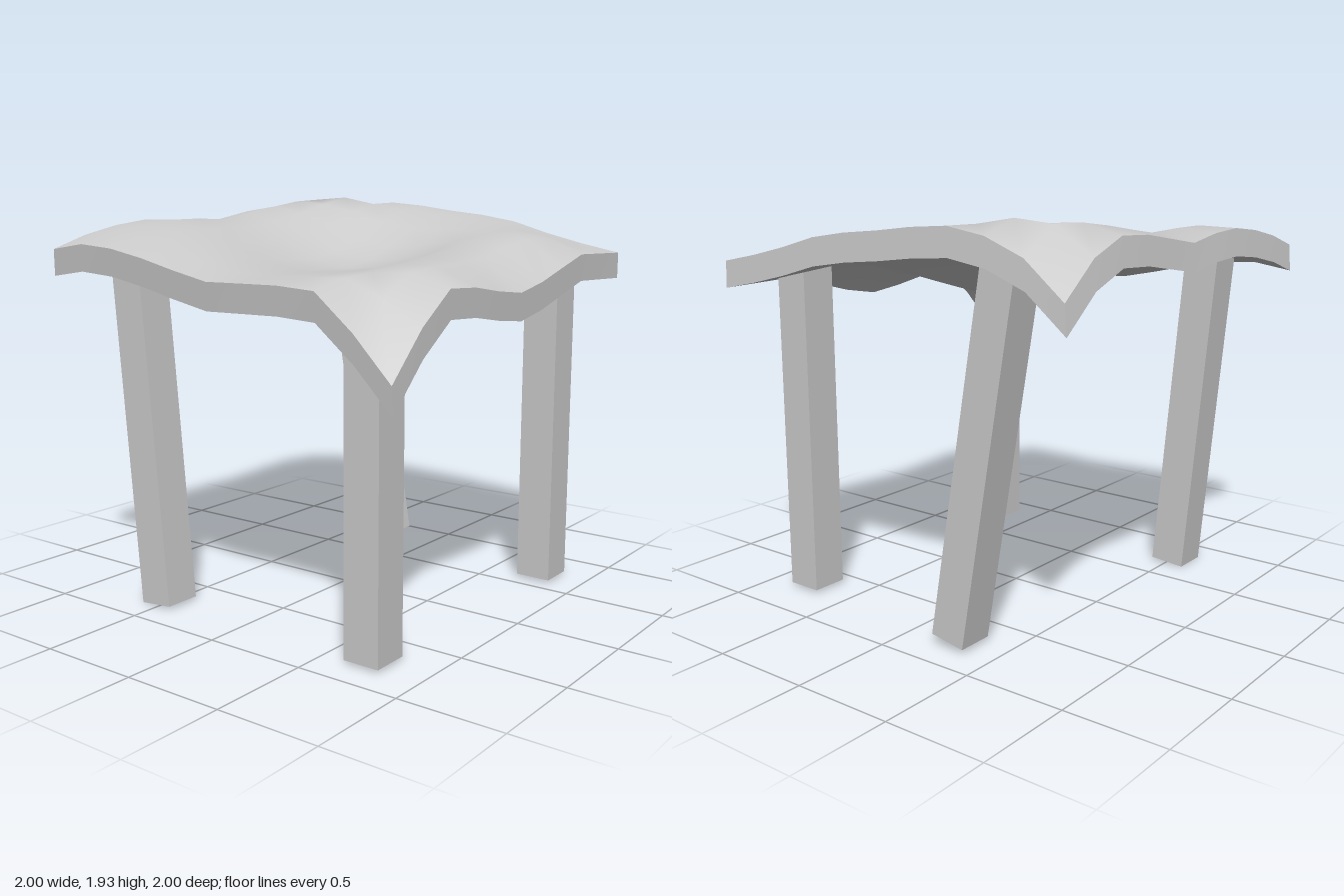
import * as THREE from 'three';

const N = 10;
const THICK = 0.128;

// Control heights of the warped top: rows run back to front, columns -x to +x
const XS = [-1, -0.8, -0.6, -0.3, 0, 0.3, 0.6, 0.8, 1];
const ZS = [-1, -0.75, -0.4, -0.2, 0, 0.35, 0.65, 0.85, 1];
const HEIGHTS = [
  [1.71, 1.77, 1.81, 1.835, 1.795, 1.845, 1.87, 1.80, 1.65],
  [1.74, 1.78, 1.81, 1.835, 1.825, 1.87, 1.915, 1.935, 1.83],
  [1.69, 1.72, 1.74, 1.73, 1.73, 1.77, 1.86, 1.90, 1.905],
  [1.645, 1.67, 1.68, 1.655, 1.645, 1.70, 1.81, 1.87, 1.89],
  [1.605, 1.63, 1.635, 1.615, 1.605, 1.66, 1.78, 1.85, 1.865],
  [1.61, 1.63, 1.63, 1.63, 1.64, 1.70, 1.78, 1.82, 1.825],
  [1.58, 1.63, 1.65, 1.69, 1.72, 1.77, 1.785, 1.755, 1.745],
  [1.39, 1.54, 1.65, 1.66, 1.66, 1.72, 1.745, 1.71, 1.70],
  [1.25, 1.46, 1.60, 1.575, 1.54, 1.60, 1.68, 1.675, 1.67],
];

// Smooth cubic through unevenly spaced knots
function spline(knots, vals, t) {
  const last = knots.length - 1;
  let i = 0;
  while (i < last - 1 && t > knots[i + 1]) i++;
  const slope = (k) => {
    const a = Math.max(k - 1, 0), b = Math.min(k + 1, last);
    return (vals[b] - vals[a]) / (knots[b] - knots[a]);
  };
  const h = knots[i + 1] - knots[i], u = (t - knots[i]) / h;
  const u2 = u * u, u3 = u2 * u;
  return (2 * u3 - 3 * u2 + 1) * vals[i] + (u3 - 2 * u2 + u) * h * slope(i)
    + (3 * u2 - 2 * u3) * vals[i + 1] + (u3 - u2) * h * slope(i + 1);
}

const height = (x, z) => spline(ZS, HEIGHTS.map((row) => spline(XS, row, x)), z);

// Point of the slab at grid cell (i, j), on its upper or lower face
function slabPoint(i, j, lower) {
  const x = (2 * i) / N - 1, z = (2 * j) / N - 1;
  const corner = (sx, sz) => Math.pow(Math.max(0, x * sx) * Math.max(0, z * sz), 4);
  const flare = corner(1, -1), droop = corner(-1, 1), front = corner(1, 1);
  const [x0, x1, z0, z1] = lower ? [-0.985, 0.97, -0.985, 0.98] : [-1, 0.96, -0.968, 0.985];
  return [
    THREE.MathUtils.lerp(x0, x1, i / N) + 0.03 * flare + 0.035 * droop,
    height(x, z) - (lower ? THICK : 0),
    THREE.MathUtils.lerp(z0, z1, j / N) - 0.02 * flare - 0.04 * droop + 0.013 * front,
  ];
}

function toGeometry(positions, index) {
  const g = new THREE.BufferGeometry();
  g.setAttribute('position', new THREE.Float32BufferAttribute(positions, 3));
  g.setIndex(index);
  g.computeVertexNormals();
  return g;
}

function faceGeometry(lower) {
  const positions = [], index = [];
  for (let j = 0; j <= N; j++) {
    for (let i = 0; i <= N; i++) {
      positions.push(...slabPoint(i, j, lower));
      if (i === N || j === N) continue;
      const a = j * (N + 1) + i, b = a + 1, c = a + N + 1, d = c + 1;
      if (lower) index.push(a, b, c, b, d, c);
      else index.push(a, c, b, b, c, d);
    }
  }
  return toGeometry(positions, index);
}

// One rim strip; cell(k) walks an edge anticlockwise seen from above
function rimGeometry(cell) {
  const positions = [], index = [];
  for (let k = 0; k <= N; k++) {
    const [i, j] = cell(k);
    positions.push(...slabPoint(i, j, false), ...slabPoint(i, j, true));
    if (k === N) continue;
    const t = 2 * k;
    index.push(t, t + 1, t + 2, t + 2, t + 1, t + 3);
  }
  return toGeometry(positions, index);
}

export function createModel() {
  const group = new THREE.Group();
  const material = new THREE.MeshStandardMaterial({ color: 0xcccccc });
  const add = (name, geometry, parent = group) => {
    const mesh = new THREE.Mesh(geometry, material);
    mesh.name = name;
    parent.add(mesh);
    return mesh;
  };

  // Warped table top
  const top = new THREE.Group();
  top.name = 'tableTop';
  group.add(top);
  add('upperFace', faceGeometry(false), top);
  add('underside', faceGeometry(true), top);
  add('frontRim', rimGeometry((k) => [k, N]), top);
  add('leftRim', rimGeometry((k) => [N, N - k]), top);
  add('backRim', rimGeometry((k) => [N - k, 0]), top);
  add('rightRim', rimGeometry((k) => [0, k]), top);

  // Square legs, the back pair leaning: x, foot y and z, head y and z
  const legs = [
    ['frontLeftLeg', 0.675, 0.015, 0.767, 1.64, 0.767],
    ['frontRightLeg', -0.76, 0.015, 0.717, 1.5, 0.717],
    ['backLeftLeg', 0.767, 0.037, -0.267, 1.8, -0.572],
    ['backRightLeg', -0.757, 0.008, -0.51, 1.67, -0.655],
  ];
  for (const [name, x, y0, z0, y1, z1] of legs) {
    const length = Math.hypot(y1 - y0, z1 - z0);
    const leg = add(name, new THREE.BoxGeometry(0.182, length, 0.179));
    leg.position.set(x, (y0 + y1) / 2, (z0 + z1) / 2);
    leg.rotation.x = Math.atan2(z1 - z0, y1 - y0);
  }
  return group;
}
